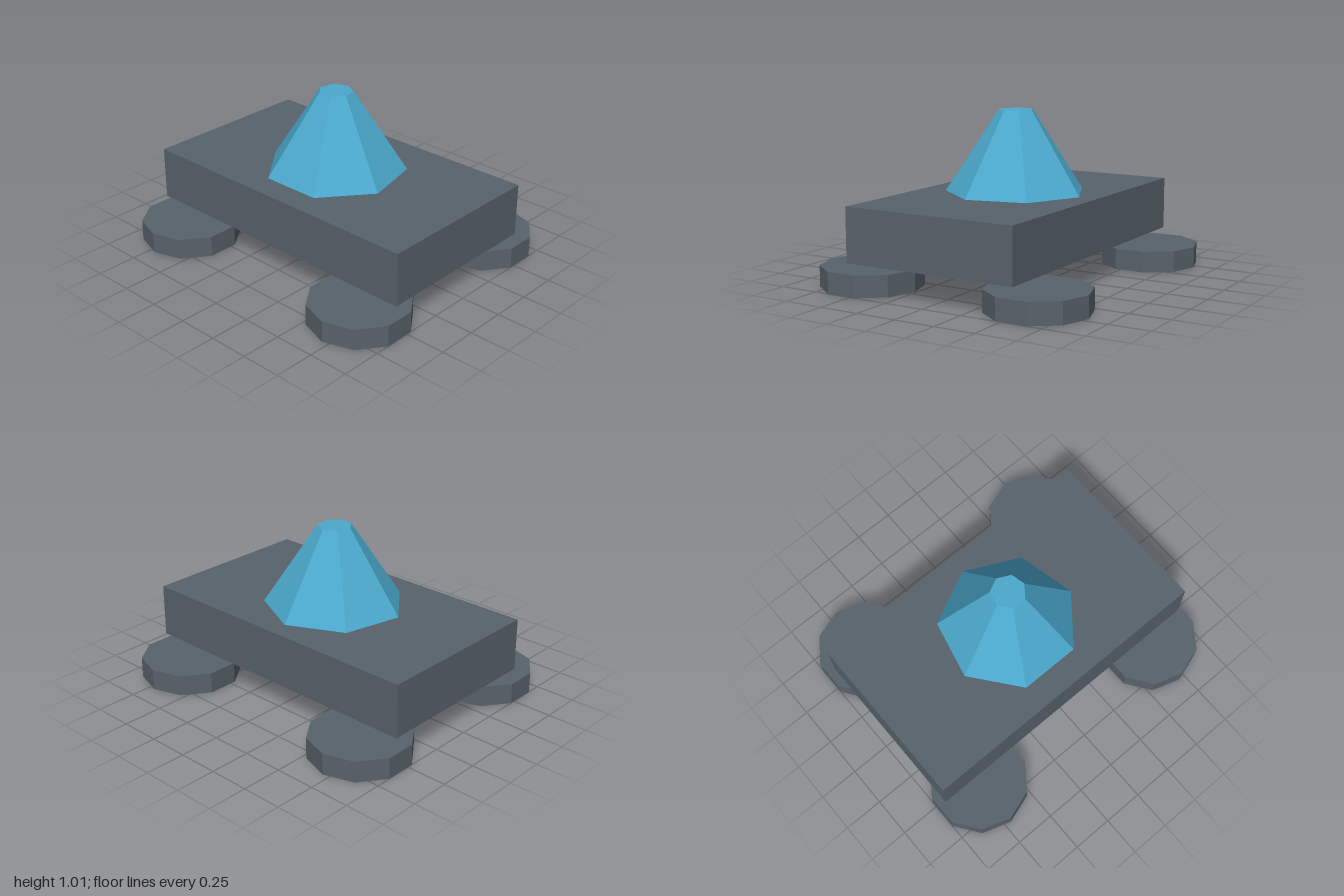
import * as THREE from 'three';

export function createModel() {
  const model = new THREE.Group();
  const grey = new THREE.MeshStandardMaterial({ color: 0x58636b, flatShading: true });
  grey.name = 'slate grey';
  const blue = new THREE.MeshStandardMaterial({ color: 0x4ba9cd, flatShading: true });
  blue.name = 'sky blue';

  const add = (name, geometry, material, x, y, z) => {
    const mesh = new THREE.Mesh(geometry, material);
    mesh.name = name;
    mesh.position.set(x, y, z);
    model.add(mesh);
    return mesh;
  };

  // Slab body floating just above the pads
  add('body', new THREE.BoxGeometry(1.915, 0.327, 1.1), grey, 0.003, 0.348, 0);

  // Seven-sided tapered turret, one corner pointing to the back
  const turret = add('turret', new THREE.CylinderGeometry(0.105, 0.433, 0.5, 7), blue, 0.004, 0.761, 0);
  turret.rotation.y = Math.PI;

  // Four ten-sided hover pads under the corners
  const padGeometry = new THREE.CylinderGeometry(0.306, 0.306, 0.13, 10);
  for (const [side, sx] of [['Left', 1], ['Right', -1]]) {
    for (const [end, sz] of [['front', 1], ['back', -1]]) {
      add(`${end}${side}Pad`, padGeometry, grey, sx * 0.709, 0.065, sz * 0.563);
    }
  }
  return model;
}
